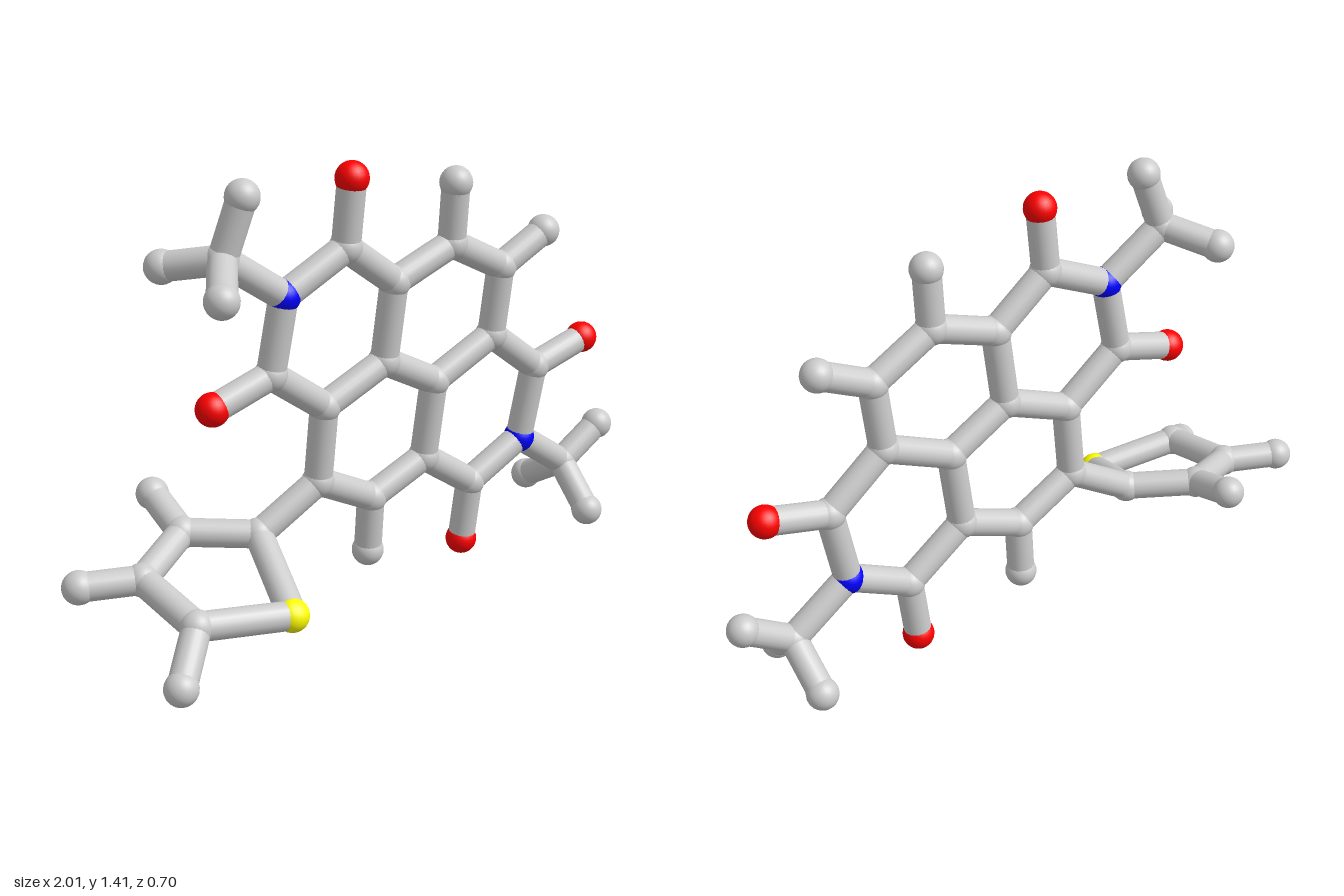
import * as THREE from 'three';

const ATOM_R = 0.05, BOND_R = 0.043;
const COLORS = { C: 0xcccccc, H: 0xcccccc, O: 0xff0000, N: 0x0000ff, S: 0xffff00 };
const NAMES = { C: 'carbon', H: 'hydrogen', O: 'oxygen', N: 'nitrogen', S: 'sulfur' };

// The fused rings lie in one slightly tilted plane
const flat = (x, y) => [x, y, 0.05 * x + 0.08 * y];

// Atoms: the first letter of each key is the element
const ATOMS = {
  // fused ring core
  C3: flat(-0.195, 0.665), C4: flat(0.02, 0.76), C5: flat(0.04, 1.01), C6: flat(0.25, 1.09),
  C7: flat(0.455, 0.98), C8: flat(0.44, 0.755), C9: flat(0.22, 0.65), C10: flat(0.2, 0.395),
  C11: flat(0, 0.31), C12: flat(-0.205, 0.42),
  H6: flat(0.25, 1.28), H7: flat(0.62, 1.065), H11: flat(0, 0.125),
  // upper imide ring
  C1: flat(-0.145, 1.15), N1: flat(-0.355, 1.045), C2: flat(-0.39, 0.81),
  O1: flat(-0.135, 1.355), O2: flat(-0.585, 0.75),
  // lower imide ring
  C13: flat(0.635, 0.605), N2: flat(0.6, 0.36), C14: flat(0.4, 0.255),
  O13: flat(0.835, 0.66), O14: flat(0.385, 0.05),
  // upper methyl
  C15: [-0.55, 1.185, 0.05], H15a: [-0.5, 1.36, 0.08], H15b: [-0.665, 1.13, 0.205], H15c: [-0.65, 1.15, -0.1],
  // lower methyl
  C16: [0.8, 0.22, 0.06], H16a: [0.95, 0.32, 0.075], H16b: [0.785, 0.095, 0.2], H16c: [0.8, 0.12, -0.1],
  // five-sided side ring
  C17: [-0.405, 0.295, -0.01], S1: [-0.49, 0.165, 0.26], C18: [-0.775, 0.2, 0.195],
  C19: [-0.79, 0.255, -0.05], C20: [-0.59, 0.31, -0.14],
  H18: [-0.9, 0.095, 0.295], H19: [-0.955, 0.255, -0.125], H20: [-0.58, 0.375, -0.305],
};

// Each chain bonds its neighbours in order
const CHAINS = [
  'C3 C4 C5 C6 C7 C8 C9 C10 C11 C12 C3', 'C4 C9',
  'C5 C1 N1 C2 C3', 'C8 C13 N2 C14 C10',
  'C1 O1', 'C2 O2', 'C13 O13', 'C14 O14',
  'C6 H6', 'C7 H7', 'C11 H11',
  'N1 C15 H15a', 'H15b C15 H15c',
  'N2 C16 H16a', 'H16b C16 H16c',
  'C12 C17 S1 C18 C19 C20 C17', 'C18 H18', 'C19 H19', 'C20 H20',
];

export function createModel() {
  const model = new THREE.Group();
  model.name = 'molecule';
  const atoms = new THREE.Group();
  atoms.name = 'atoms';
  const bonds = new THREE.Group();
  bonds.name = 'bonds';
  model.add(atoms, bonds);

  const materials = {};
  for (const key in COLORS) materials[key] = new THREE.MeshStandardMaterial({ color: COLORS[key] });

  // Balls
  const ball = new THREE.SphereGeometry(ATOM_R, 24, 16);
  for (const key in ATOMS) {
    const mesh = new THREE.Mesh(ball, materials[key[0]]);
    mesh.name = NAMES[key[0]] + 'Atom';
    mesh.position.set(...ATOMS[key]);
    atoms.add(mesh);
  }

  // Sticks
  const up = new THREE.Vector3(0, 1, 0);
  for (const chain of CHAINS) {
    const points = chain.split(' ').map((key) => new THREE.Vector3(...ATOMS[key]));
    for (let i = 1; i < points.length; i++) {
      const dir = points[i].clone().sub(points[i - 1]);
      const length = dir.length();
      const mesh = new THREE.Mesh(new THREE.CylinderGeometry(BOND_R, BOND_R, length, 20), materials.C);
      mesh.name = 'bond';
      mesh.position.copy(points[i]).add(points[i - 1]).multiplyScalar(0.5);
      mesh.quaternion.setFromUnitVectors(up, dir.divideScalar(length));
      bonds.add(mesh);
    }
  }
  return model;
}
